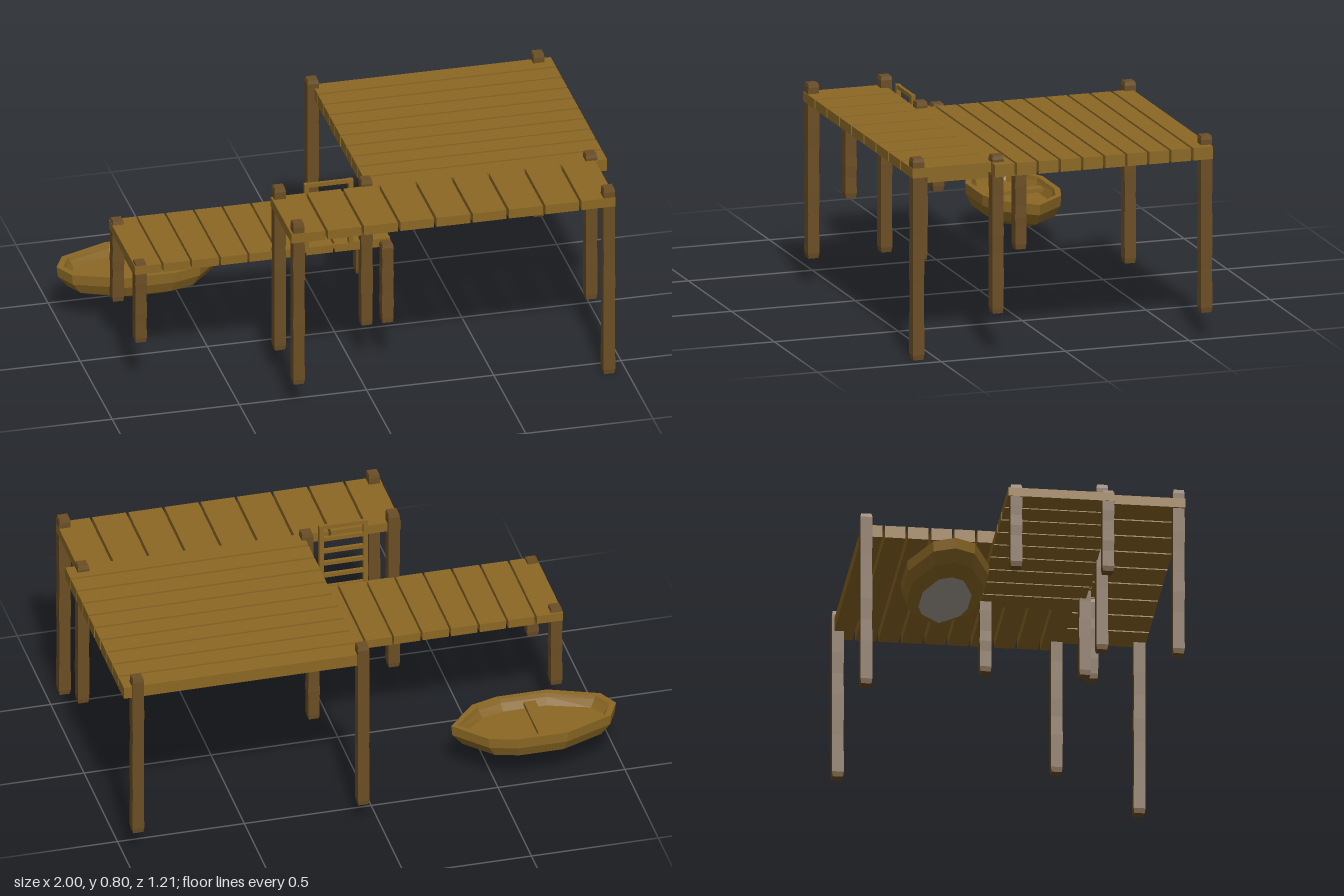
import * as THREE from 'three';

const plankMat = new THREE.MeshStandardMaterial({ name: 'plank wood', color: 0x8b6824, flatShading: true });
const postMat = new THREE.MeshStandardMaterial({ name: 'post wood', color: 0x6b4e24, flatShading: true });
const keelMat = new THREE.MeshStandardMaterial({ name: 'grey hull bottom', color: 0xa8a198, flatShading: true });

// Box given by its min and max corners
function box(parent, name, mat, x0, x1, y0, y1, z0, z1) {
  const m = new THREE.Mesh(new THREE.BoxGeometry(x1 - x0, y1 - y0, z1 - z0), mat);
  m.position.set((x0 + x1) / 2, (y0 + y1) / 2, (z0 + z1) / 2);
  m.name = name;
  parent.add(m);
  return m;
}

// Row of planks laid side by side along x or z
function deck(name, axis, count, gap, [x0, x1], [y0, y1], [z0, z1]) {
  const g = new THREE.Group();
  g.name = name;
  const [start, end] = axis === 'x' ? [x0, x1] : [z0, z1];
  const pitch = (end - start + gap) / count;
  for (let i = 0; i < count; i++) {
    const a = start + i * pitch, b = a + pitch - gap;
    if (axis === 'x') box(g, 'plank', plankMat, a, b, y0, y1, z0, z1);
    else box(g, 'plank', plankMat, x0, x1, y0, y1, a, b);
  }
  return g;
}

// Slightly worn square post with narrowed ends
function post(x, z, y0, y1) {
  const size = 0.045, h = y1 - y0, segments = 8;
  const geo = new THREE.BoxGeometry(size, h, size, 1, segments, 1);
  const p = geo.attributes.position;
  for (let i = 0; i < p.count; i++) {
    const level = Math.round((p.getY(i) / h + 0.5) * segments);
    const end = level === 0 || level === segments;
    const s = end ? 0.88 : 1 + 0.03 * Math.sin(level * 2.4 + x * 9 + z * 5);
    p.setX(i, p.getX(i) * s);
    p.setZ(i, p.getZ(i) * s);
    // the end chamfers are short
    if (level === 1) p.setY(i, -h / 2 + 0.02);
    if (level === segments - 1) p.setY(i, h / 2 - 0.015);
  }
  geo.computeVertexNormals();
  const m = new THREE.Mesh(geo, postMat);
  m.position.set(x, (y0 + y1) / 2, z);
  m.name = 'post';
  return m;
}

// Boat outline around its centre, anticlockwise from above
const half = [[0.21, -0.125], [0.105, -0.157], [-0.095, -0.157], [-0.285, -0.08]];
const outline = [[0.325, 0], ...half, [-0.325, 0], ...half.slice().reverse().map(([x, z]) => [x, -z])];

// Skin between scaled copies of the outline; rings are [scaleX, scaleZ, y]
function loft(rings) {
  const pos = [], n = outline.length;
  const at = ([sx, sz, y], i) => [outline[i % n][0] * sx, y, outline[i % n][1] * sz];
  for (let r = 0; r < rings.length - 1; r++) {
    const a = rings[r], b = rings[r + 1];
    for (let i = 0; i < n; i++) {
      if (b[0] > 0) pos.push(...at(a, i), ...at(b, i), ...at(b, i + 1));
      if (a[0] > 0) pos.push(...at(a, i), ...at(b, i + 1), ...at(a, i + 1));
    }
  }
  const geo = new THREE.BufferGeometry();
  geo.setAttribute('position', new THREE.Float32BufferAttribute(pos, 3));
  geo.computeVertexNormals();
  return geo;
}

function rowingBoat() {
  const g = new THREE.Group();
  g.name = 'rowingBoat';
  // floor, inner wall, rim and outer hull
  const hull = new THREE.Mesh(loft([
    [0, 0, 0.175], [0.85, 0.74, 0.175], [0.9, 0.83, 0.205], [0.92, 0.86, 0.22],
    [1, 1, 0.22], [0.985, 0.985, 0.178], [0.87, 0.87, 0.134], [0.64, 0.6, 0.108],
  ]), plankMat);
  hull.name = 'hull';
  const bottom = new THREE.Mesh(loft([[0.64, 0.6, 0.108], [0, 0, 0.108]]), keelMat);
  bottom.name = 'hullBottom';
  g.add(hull, bottom);
  box(g, 'bench', plankMat, -0.04, 0.007, 0.185, 0.2, -0.125, 0.125);
  g.position.set(-0.675, 0, -0.367);
  return g;
}

function ladder() {
  const g = new THREE.Group();
  g.name = 'ladder';
  for (const x of [-0.178, -0.004]) box(g, 'ladderRail', plankMat, x - 0.009, x + 0.009, 0.5, 0.79, 0.258, 0.276);
  for (let i = 0; i < 6; i++) {
    const y = 0.51 + i * 0.0545;
    box(g, 'rung', plankMat, -0.172, -0.01, y - 0.008, y + 0.008, 0.261, 0.274);
  }
  return g;
}

export function createModel() {
  const model = new THREE.Group();
  model.name = 'dock';

  // Three plank platforms
  model.add(
    deck('mainDeck', 'z', 10, 0.01, [0.063, 1], [0.706, 0.755], [-0.596, 0.283]),
    deck('frontDeck', 'x', 9, 0.01, [-0.32, 0.953], [0.717, 0.755], [0.275, 0.6]),
    deck('lowerDeck', 'x', 9, 0.008, [-0.85, 0.153], [0.48, 0.515], [-0.146, 0.262]),
  );

  // Posts: x, z, bottom, top
  const posts = new THREE.Group();
  posts.name = 'posts';
  const spots = [
    [0.057, -0.582, 0.076, 0.79], [0.945, -0.582, 0.095, 0.79],
    [0.057, 0.258, 0.16, 0.78], [0.94, 0.258, 0.16, 0.78],
    [-0.29, 0.281, 0.108, 0.8], [-0.29, 0.575, 0.108, 0.795], [0.93, 0.575, 0, 0.792],
    [-0.826, -0.115, 0.187, 0.53], [-0.826, 0.238, 0.187, 0.525],
    [0.13, -0.115, 0.187, 0.525], [0.13, 0.295, 0.18, 0.515],
  ];
  for (const [x, z, y0, y1] of spots) posts.add(post(x, z, y0, y1));

  model.add(posts, ladder(), rowingBoat());
  return model;
}
